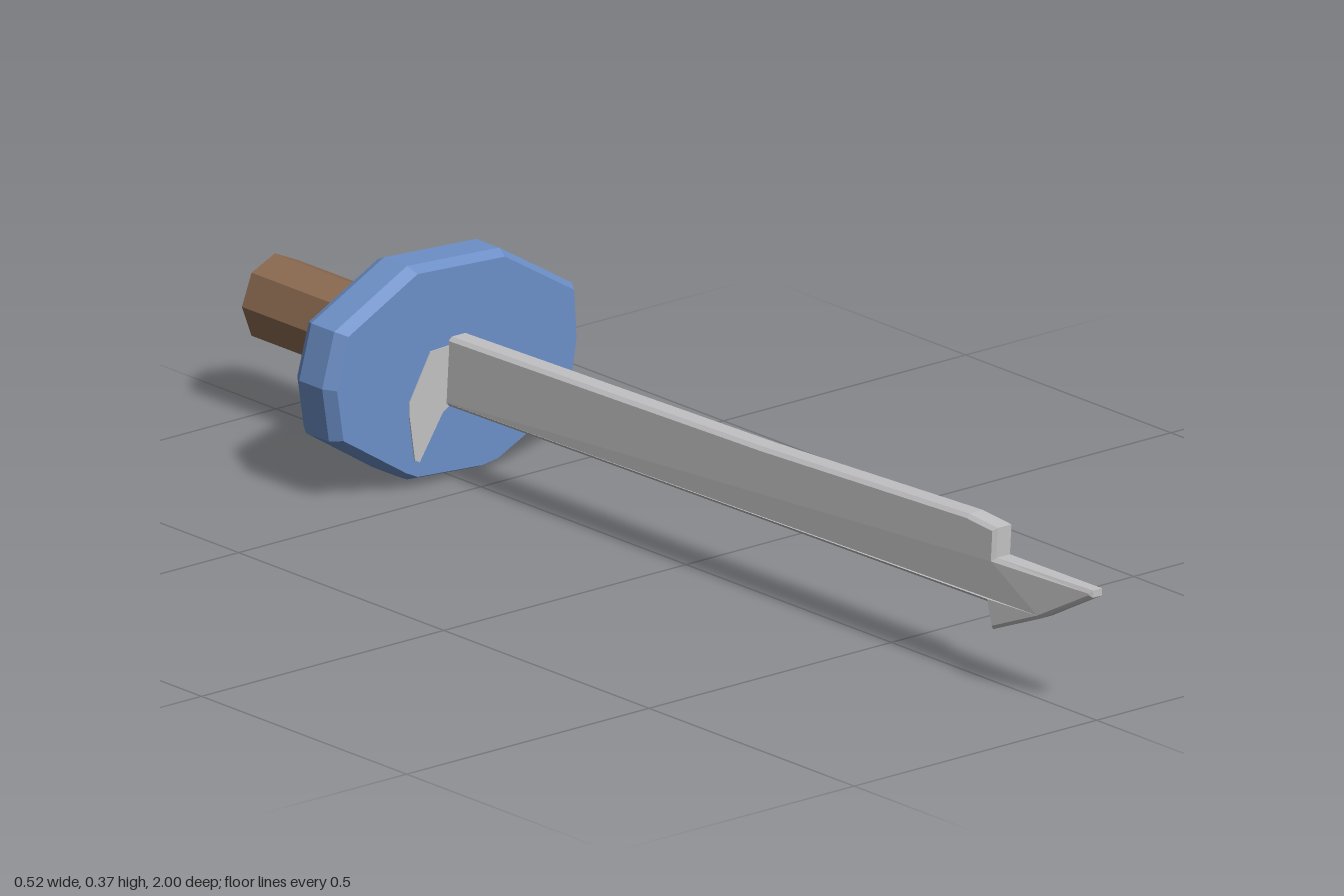
import * as THREE from 'three';

const flat = (name, color, extra = {}) => {
  const m = new THREE.MeshStandardMaterial({ color, ...extra });
  m.name = name;
  m.flatShading = true;
  return m;
};

const part = (name, geometry, material) => {
  const mesh = new THREE.Mesh(geometry, material);
  mesh.name = name;
  return mesh;
};

const shapeFrom = pts => new THREE.Shape(pts.map(([a, b]) => new THREE.Vector2(a, b)));

// Closed solid from one outline repeated as scaled loops, ordered front to back
function loft(outline, loops, cx, cy) {
  const n = outline.length, pos = [], index = [];
  for (const [s, z] of loops)
    for (const [x, y] of outline) pos.push(cx + (x - cx) * s, cy + (y - cy) * s, z);
  const front = pos.length / 3, back = front + 1, last = (loops.length - 1) * n;
  pos.push(cx, cy, loops[0][1], cx, cy, loops[loops.length - 1][1]);
  for (let i = 0; i < n; i++) {
    const j = (i + 1) % n;
    for (let k = 0; k < last; k += n)
      index.push(k + i, k + n + i, k + n + j, k + i, k + n + j, k + j);
    index.push(front, i, j, back, last + j, last + i);
  }
  const g = new THREE.BufferGeometry();
  g.setAttribute('position', new THREE.Float32BufferAttribute(pos, 3));
  g.setIndex(index);
  const out = g.toNonIndexed();
  out.computeVertexNormals();
  return out;
}

export function createModel() {
  const model = new THREE.Group();
  model.name = 'sword';
  const steel = flat('steel', 0xc2c2c4);
  const blue = flat('blue', 0x6d90c8);
  const wood = flat('wood', 0x8c6b52);

  // Blade: side profile (z, y) with a hooked, barbed tip
  const profile = [
    [-0.6, 0.125], [0.2, 0.134], [0.755, 0.14], [0.77, 0.098], [0.88, 0.143],
    [1, 0.207], [1, 0.219], [0.77, 0.215], [0.77, 0.264], [0.7, 0.27],
    [0.2, 0.252], [-0.6, 0.238],
  ];
  const bevel = 0.006, half = 0.02;
  const blade = new THREE.ExtrudeGeometry(shapeFrom(profile), {
    depth: 2 * (half - bevel), bevelThickness: bevel, bevelSize: bevel,
    bevelOffset: -bevel, bevelSegments: 1,
  });
  blade.translate(0, 0, -(half - bevel)).rotateY(-Math.PI / 2);
  // Lean the blade slightly and thin it towards the tip
  const p = blade.attributes.position;
  for (let i = 0; i < p.count; i++) {
    const thin = 1 - 0.35 * THREE.MathUtils.smoothstep(p.getZ(i), 0.77, 1);
    p.setX(i, p.getX(i) * thin + (p.getY(i) - 0.18) * 0.06);
  }
  blade.computeVertexNormals();
  model.add(part('blade', blade, steel));

  // Guard: irregular, chamfered disc, outline anticlockwise from the top
  const outline = [
    [-0.085, 0.367], [-0.235, 0.29], [-0.26, 0.2], [-0.246, 0.11], [-0.11, 0.024],
    [-0.085, 0.012], [0.055, 0.002], [0.09, 0.007], [0.244, 0.08], [0.26, 0.18],
    [0.255, 0.265], [0.105, 0.356],
  ];
  const loops = [[0.95, -0.559], [1, -0.58], [1, -0.636], [0.95, -0.656]];
  model.add(part('guard', loft(outline, loops, 0, 0.185), blue));

  // Thin steel patch on the front of the guard, beside the blade
  const patch = shapeFrom([
    [-0.01, 0.226], [-0.055, 0.224], [-0.099, 0.147], [-0.099, 0.125],
    [-0.088, 0.05], [-0.078, 0.045], [-0.03, 0.118], [-0.01, 0.13],
  ]);
  const plate = new THREE.ExtrudeGeometry(patch, { depth: 0.004, bevelEnabled: false });
  plate.translate(0, 0, -0.561);
  model.add(part('guardPatch', plate, steel));

  // Grip: eight-sided wooden bar
  const grip = new THREE.CylinderGeometry(0.068, 0.068, 0.38, 8);
  grip.rotateX(Math.PI / 2).scale(1, 1.09, 1).translate(-0.002, 0.187, -0.81);
  model.add(part('grip', grip, wood));

  return model;
}
